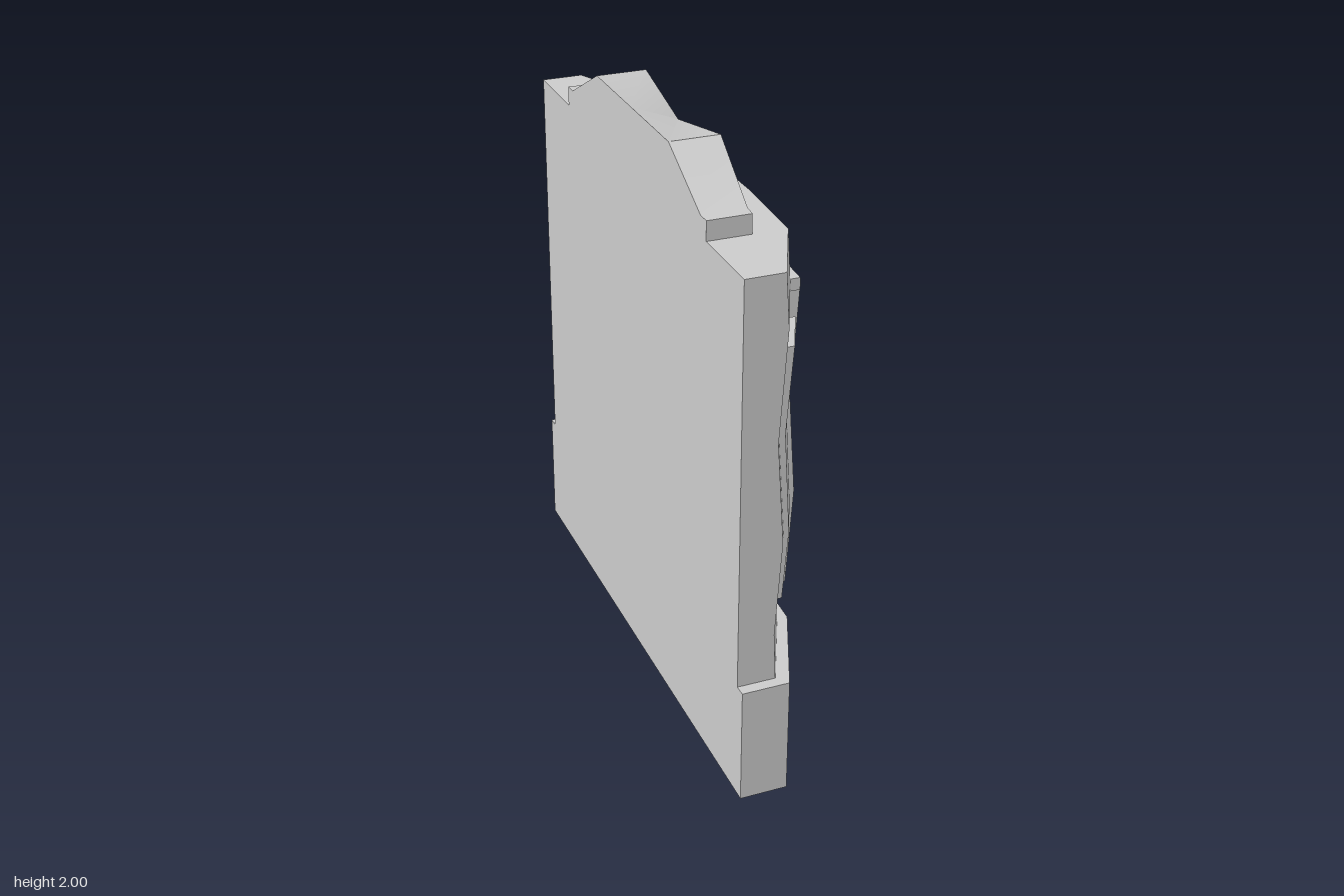
import * as THREE from 'three';
import { toCreasedNormals } from 'three/addons/utils/BufferGeometryUtils.js';

const material = new THREE.MeshStandardMaterial({ color: 0xcccccc });
const BACK = -0.16;

// Piecewise linear lookup through ascending [position, value] pairs
function lerpTable(table, t) {
  if (t <= table[0][0]) return table[0][1];
  for (let i = 1; i < table.length; i++) {
    const [a, va] = table[i - 1], [b, vb] = table[i];
    if (t <= b) return va + (vb - va) * (t - a) / (b - a);
  }
  return table[table.length - 1][1];
}

// Bay plan (z -> x), plus a hand-worn ripple up the wall (y -> x)
const wallPlan = [[-0.9, -0.02], [-0.62, 0.112], [-0.3, 0.112], [0, 0.105], [0.3, 0.112], [0.62, 0.1], [0.9, -0.03]];
const ripple = [[0.41, 0], [0.56, -0.01], [0.9, 0.012], [1.25, -0.012], [1.62, 0.012], [1.8, 0]];
const basePlan = [[-0.94, 0], [-0.62, 0.145], [-0.3, 0.152], [0, 0.155], [0.3, 0.155], [0.6, 0.145], [0.94, 0]];
const wallX = (y, z) => lerpTable(wallPlan, z) + lerpTable(ripple, y);

// Box stretched over rows ys and columns zs, between a back and a front surface
function block(name, zs, ys, backX, frontX, tweak) {
  const ny = ys.length - 1, nz = zs.length - 1;
  const geometry = new THREE.BoxGeometry(1, 1, 1, 1, ny, nz);
  const p = geometry.attributes.position;
  const v = new THREE.Vector3();
  for (let i = 0; i < p.count; i++) {
    const front = p.getX(i) > 0;
    const row = Math.round((p.getY(i) + 0.5) * ny);
    const y = ys[row];
    const z = zs[Math.round((p.getZ(i) + 0.5) * nz)];
    v.set((front ? frontX : backX)(y, z), y, z);
    if (tweak) tweak(v, front, row === ny);
    p.setXYZ(i, v.x, v.y, v.z);
  }
  const mesh = new THREE.Mesh(toCreasedNormals(geometry, 0.5), material);
  mesh.name = name;
  return mesh;
}

// Range from a to b with the bends of the wall that fall between
function span(a, b, bends) {
  return [a, ...bends.filter((t) => t > a + 0.01 && t < b - 0.01), b];
}
const yBends = ripple.map((r) => r[0]);
const zBends = wallPlan.map((r) => r[0]);

// Strip laid over the wall surface
function strip(name, z0, z1, y0, y1, depth, sink, tweak) {
  return block(name, span(z0, z1, zBends), span(y0, y1, yBends),
    (y, z) => wallX(y, z) - sink, (y, z) => wallX(y, z) + depth, tweak);
}

export function createModel() {
  const group = new THREE.Group();
  group.name = 'bayWindow';
  const back = () => BACK;
  const lean = (v) => { v.z += 0.02 * (v.y - 1.6); };

  // Plinth
  group.add(block('base', basePlan.map((r) => r[0]), [0, 0.41], back,
    (y, z) => lerpTable(basePlan, z),
    (v, front, top) => { if (top && Math.abs(v.z) < 0.7) v.y = 0.402; }));

  // Wall with the recessed panes
  const zs = [-0.9, -0.62, -0.605, -0.595, -0.3, 0, 0.3, 0.595, 0.605, 0.62, 0.9];
  const ys = [0.38, 0.575, 0.585, 0.9, 1.25, 1.615, 1.625, 1.8];
  group.add(block('wall', zs, ys, back, (y, z) => {
    const inside = Math.abs(z) < 0.6 && y > 0.58 && y < 1.62;
    return wallX(y, z) - (inside ? 0.03 : 0);
  }));

  // Window frame
  const frame = new THREE.Group();
  frame.name = 'windowFrame';
  frame.add(strip('frameBottom', -0.63, 0.62, 0.56, 0.6, 0.033, 0.04));
  frame.add(strip('frameTop', -0.62, 0.63, 1.6, 1.64, 0.033, 0.04));
  frame.add(strip('frameLeft', 0.585, 0.625, 0.6, 1.6, 0.033, 0.04));
  frame.add(strip('frameRight', -0.625, -0.585, 0.6, 1.6, 0.033, 0.04));
  group.add(frame);

  // Glazing bars
  const bars = new THREE.Group();
  bars.name = 'glazingBars';
  for (const z of [-0.3, 0, 0.3]) bars.add(strip('verticalBar', z - 0.02, z + 0.02, 0.6, 1.6, 0.022, 0.05, lean));
  for (const y of [0.92, 1.27]) bars.add(strip('horizontalBar', -0.585, 0.585, y - 0.02, y + 0.02, 0.018, 0.05));
  group.add(bars);

  // Raised panels on the angled sides
  group.add(strip('leftPanel', 0.68, 0.857, 0.66, 1.54, 0.025, 0.02, lean));
  group.add(strip('rightPanel', -0.85, -0.67, 0.66, 1.54, 0.025, 0.02, lean));

  // Stepped crown, its front edge dipping in the middle
  const crownTop = [[-0.575, 1.865], [-0.32, 2], [0.32, 2], [0.575, 1.865]];
  const crownPlan = [[-0.62, 0.008], [-0.3, 0.01], [0, -0.003], [0.3, 0.01], [0.62, -0.015]];
  group.add(block('crown', [-0.62, -0.575, -0.32, 0, 0.32, 0.575, 0.62], [1.78, 2], back,
    (y, z) => lerpTable(crownPlan, z),
    (v, front, top) => {
      if (top) v.y = front && v.z === 0 ? 1.94 : lerpTable(crownTop, v.z);
    }));

  return group;
}
